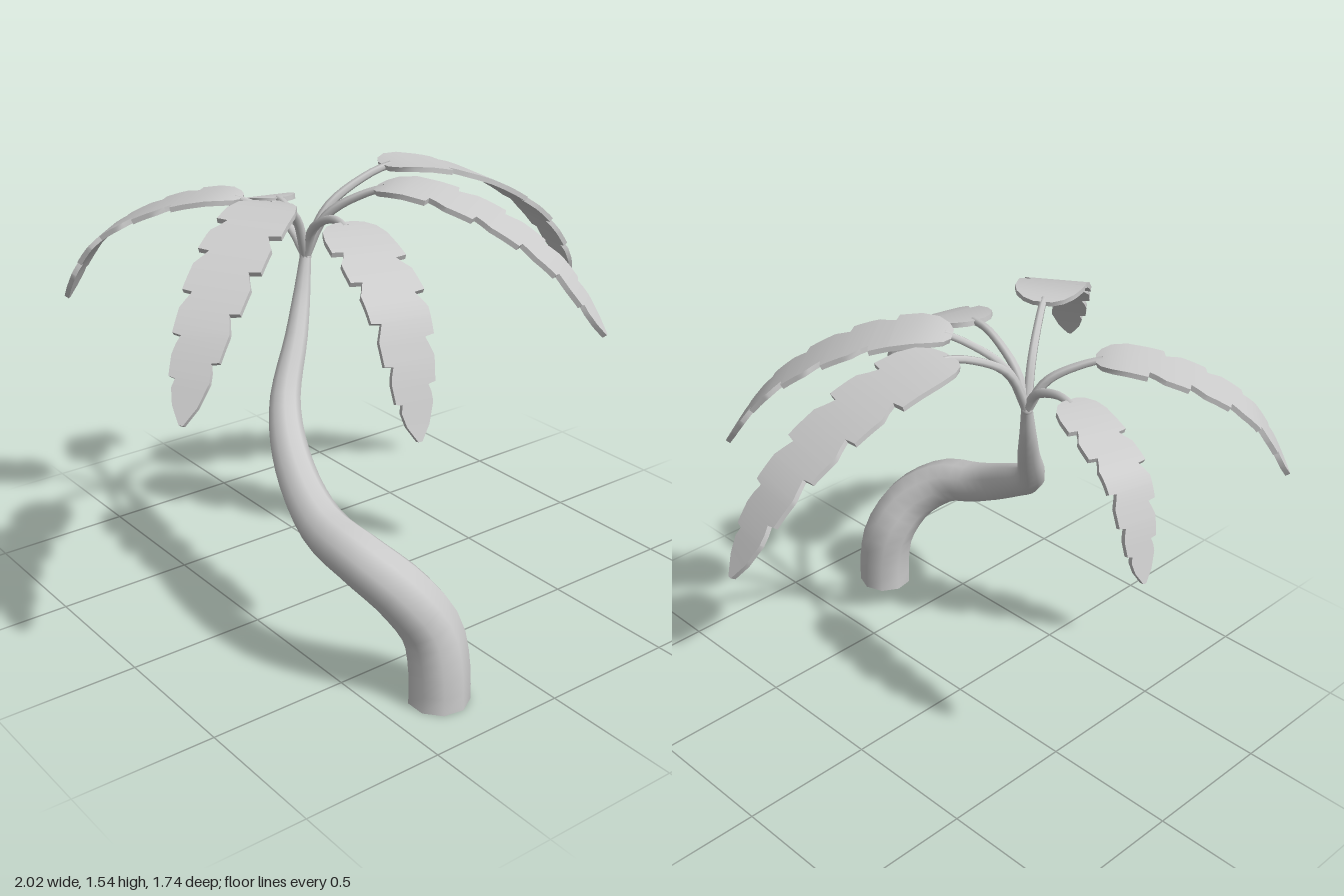
import * as THREE from 'three';
import { toCreasedNormals } from 'three/addons/utils/BufferGeometryUtils.js';

const material = new THREE.MeshStandardMaterial({ color: 0xcccccc });
const openMaterial = new THREE.MeshStandardMaterial({ color: 0xcccccc, side: THREE.DoubleSide });
const crown = new THREE.Vector3(-0.13, 1.24, -0.19);

// Piecewise-linear lookup in a list of [key, value] pairs
function lookup(table, key) {
  for (let i = 1; i < table.length; i++) {
    const [k0, v0] = table[i - 1], [k1, v1] = table[i];
    if (key <= k1) return v0 + (v1 - v0) * (key - k0) / (k1 - k0);
  }
  return table[table.length - 1][1];
}

// Tube whose radius varies along the path
function taperedTube(curve, segments, sides, radiusAt) {
  const geometry = new THREE.TubeGeometry(curve, segments, 1, sides);
  const pos = geometry.attributes.position, v = new THREE.Vector3();
  for (let i = 0; i <= segments; i++) {
    const centre = curve.getPointAt(i / segments), r = radiusAt(i / segments);
    for (let j = 0; j <= sides; j++) {
      const k = i * (sides + 1) + j;
      v.fromBufferAttribute(pos, k).sub(centre).multiplyScalar(r).add(centre);
      pos.setXYZ(k, v.x, i === 0 && centre.y === 0 ? 0 : v.y, v.z);
    }
  }
  geometry.computeVertexNormals();
  // Share the normals across the seam
  const n = geometry.attributes.normal, a = new THREE.Vector3(), b = new THREE.Vector3();
  for (let i = 0; i <= segments; i++) {
    const k = i * (sides + 1), e = k + sides;
    a.fromBufferAttribute(n, k).add(b.fromBufferAttribute(n, e)).normalize();
    n.setXYZ(k, a.x, a.y, a.z);
    n.setXYZ(e, a.x, a.y, a.z);
  }
  return geometry;
}

// Torn edge of a blade: half-width along its length, with a slit after each lobe
function tornEdge(slits) {
  const envelope = [[0, 0.28], [0.02, 0.6], [0.06, 0.85], [0.12, 0.98], [0.3, 1], [0.5, 0.93],
    [0.7, 0.76], [0.85, 0.57], [0.94, 0.34], [1, 0.06]];
  const edge = envelope.filter(([u]) => !slits.some((s) => u > s - 0.02 && u < s + 0.08));
  for (const s of slits) {
    const w = lookup(envelope, s);
    edge.push([s, w * 1.04], [s + 0.006, w * 0.7], [s + 0.035, w * 0.8],
      [s + 0.07, lookup(envelope, s + 0.07) * 0.98]);
  }
  return edge.sort((p, q) => p[0] - q[0]);
}
const leftEdge = tornEdge([0.27, 0.45, 0.62, 0.79]);
const rightEdge = tornEdge([0.2, 0.37, 0.55, 0.71, 0.85]);
const stations = [...new Set([...leftEdge, ...rightEdge].map((p) => p[0]))].sort((a, b) => a - b);

// Thin solid blade following the frond's arc, from one four-cornered section to the next
function bladeGeometry(curve, start, side, halfWidth) {
  const points = [], index = [], half = 0.009;
  for (const u of stations) {
    const s = start + (1 - start) * u;
    const c = curve.getPointAt(s);
    const up = new THREE.Vector3().crossVectors(curve.getTangentAt(s), side).normalize();
    if (up.y < 0) up.negate();
    const l = lookup(leftEdge, u) * halfWidth, r = -lookup(rightEdge, u) * halfWidth;
    for (const [w, h] of [[l, half], [r, half], [r, -half], [l, -half]]) {
      points.push(...c.clone().addScaledVector(side, w).addScaledVector(up, h).toArray());
    }
  }
  const last = (stations.length - 1) * 4;
  for (let k = 0; k < last; k += 4) {
    for (let j = 0; j < 4; j++) {
      const a = k + j, b = k + (j + 1) % 4;
      index.push(a, b, a + 4, b, b + 4, a + 4);
    }
  }
  index.push(0, 2, 1, 0, 3, 2, last, last + 1, last + 2, last, last + 2, last + 3);
  const geometry = new THREE.BufferGeometry();
  geometry.setAttribute('position', new THREE.Float32BufferAttribute(points, 3));
  geometry.setIndex(index);
  return toCreasedNormals(geometry, 0.7);
}

// Arc of a frond: [share of reach, share of rise (above 0) or drop (below 0)]
const arc = [[0, 0], [0.07, 0.55], [0.19, 0.86], [0.31, 1], [0.47, 0.9], [0.65, 0.62],
  [0.82, 0.17], [0.91, -0.3], [1, -1]];

function frond({ tip, rise, start, halfWidth }) {
  const reach = new THREE.Vector3(tip[0] - crown.x, 0, tip[2] - crown.z);
  const drop = crown.y - tip[1];
  const curve = new THREE.CatmullRomCurve3(arc.map(([t, h]) => {
    const p = crown.clone().addScaledVector(reach, t);
    p.y += h * (h > 0 ? rise : drop);
    return p;
  }));
  // Horizontal direction across the blade
  const side = new THREE.Vector3(reach.z, 0, -reach.x).normalize();

  const group = new THREE.Group();
  group.name = 'frond';
  const stemPoints = [];
  for (let i = 0; i <= 8; i++) stemPoints.push(curve.getPointAt((start + 0.02) * i / 8));
  const stem = new THREE.Mesh(
    taperedTube(new THREE.CatmullRomCurve3(stemPoints), 12, 6, (u) => 0.018 - 0.005 * u), openMaterial);
  stem.name = 'stem';
  const blade = new THREE.Mesh(bladeGeometry(curve, start, side, halfWidth), material);
  blade.name = 'blade';
  group.add(stem, blade);
  return group;
}

export function createModel() {
  const model = new THREE.Group();
  model.name = 'palmTree';

  // Bent trunk, open at the foot
  const path = new THREE.CatmullRomCurve3([
    [-0.30, 0, 0.765], [-0.30, 0.12, 0.762], [-0.315, 0.26, 0.74], [-0.39, 0.39, 0.69],
    [-0.47, 0.49, 0.57], [-0.495, 0.545, 0.4], [-0.46, 0.655, 0.2], [-0.36, 0.80, 0],
    [-0.23, 0.99, -0.11], [-0.165, 1.12, -0.165], crown.toArray(),
  ].map((p) => new THREE.Vector3(...p)));
  const radii = [0.105, 0.103, 0.1, 0.092, 0.083, 0.073, 0.064, 0.055, 0.045, 0.034, 0.02]
    .map((r, i) => [i / 10, r]);
  const trunk = new THREE.Mesh(taperedTube(path, 32, 9, (u) => lookup(radii, u)), openMaterial);
  trunk.name = 'trunk';

  // Small knob closing the trunk where the stems meet
  const knob = new THREE.Mesh(new THREE.SphereGeometry(0.021, 10, 8), material);
  knob.name = 'crownKnob';
  knob.position.copy(crown);
  model.add(trunk, knob);

  // Six fronds around the crown
  const fronds = [
    { tip: [1.0, 1.01, -0.02], rise: 0.285, start: 0.3, halfWidth: 0.13 },
    { tip: [0.52, 1.04, 0.635], rise: 0.27, start: 0.28, halfWidth: 0.122 },
    { tip: [-0.31, 0.89, 0.66], rise: 0.2, start: 0.32, halfWidth: 0.113 },
    { tip: [-1.0, 1.04, 0.4], rise: 0.27, start: 0.3, halfWidth: 0.118 },
    { tip: [-0.72, 1.03, -0.86], rise: 0.2, start: 0.27, halfWidth: 0.108 },
    { tip: [0.03, 0.94, -0.86], rise: 0.14, start: 0.3, halfWidth: 0.09 },
  ];
  for (const f of fronds) model.add(frond(f));
  return model;
}
